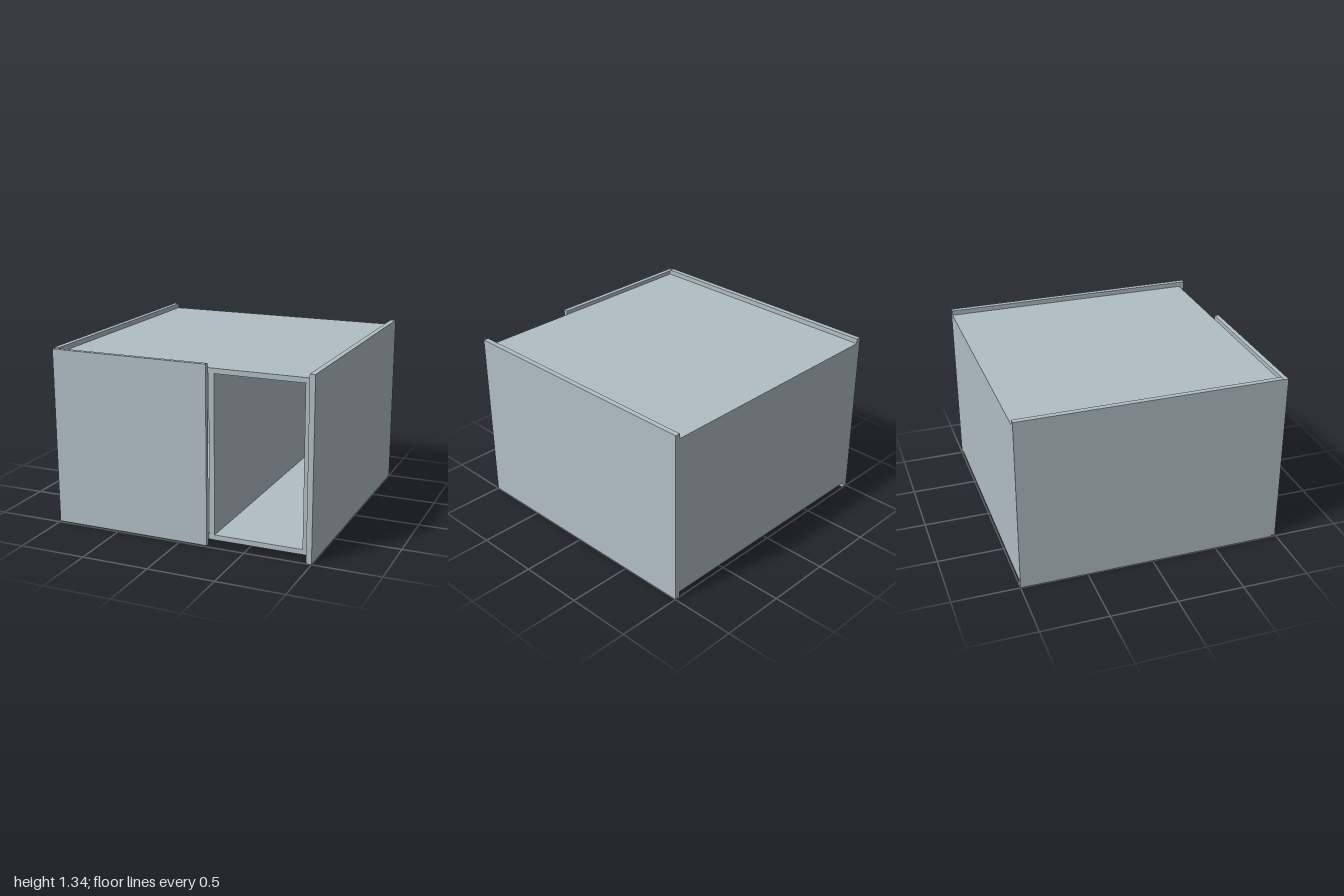
import * as THREE from 'three';

export function createModel() {
  const model = new THREE.Group();
  model.name = 'cornerCabinet';
  const paint = new THREE.MeshStandardMaterial({ color: 0xb0bec5 });
  paint.name = 'pale blue grey';

  // Board spanning the given ranges on each axis
  function board(name, [x0, x1], [y0, y1], [z0, z1]) {
    const mesh = new THREE.Mesh(new THREE.BoxGeometry(x1 - x0, y1 - y0, z1 - z0), paint);
    mesh.position.set((x0 + x1) / 2, (y0 + y1) / 2, (z0 + z1) / 2);
    mesh.name = name;
    model.add(mesh);
  }

  const height = 1.335;
  const front = 0.96; // front edge of the carcass
  const back = -0.99; // inner face of the back panel
  const inside = [0.083, 1.26];

  // Outer cladding panels; the left one runs past the door
  board('leftCladding', [0.96, 1], [0, height], [-1, 1]);
  board('rightCladding', [-1, -0.96], [0, height], [-1, front]);

  // Carcass
  board('topBoard', [-0.96, 0.96], [1.26, 1.298], [back, front]);
  board('bottomBoard', [-0.96, 0.96], [0.045, 0.083], [back, front]);
  board('backPanel', [-0.96, 0.96], [0.045, 1.298], [-1, back]);
  for (const [name, x] of [['leftSide', 0.92], ['rightSide', -0.96], ['divider', 0.22]]) {
    board(name, [x, x + 0.04], inside, [back, front]);
  }

  // Front covering the closed part
  board('frontPanel', [-0.995, 0.213], [0.006, 1.329], [front, 0.995]);

  return model;
}
